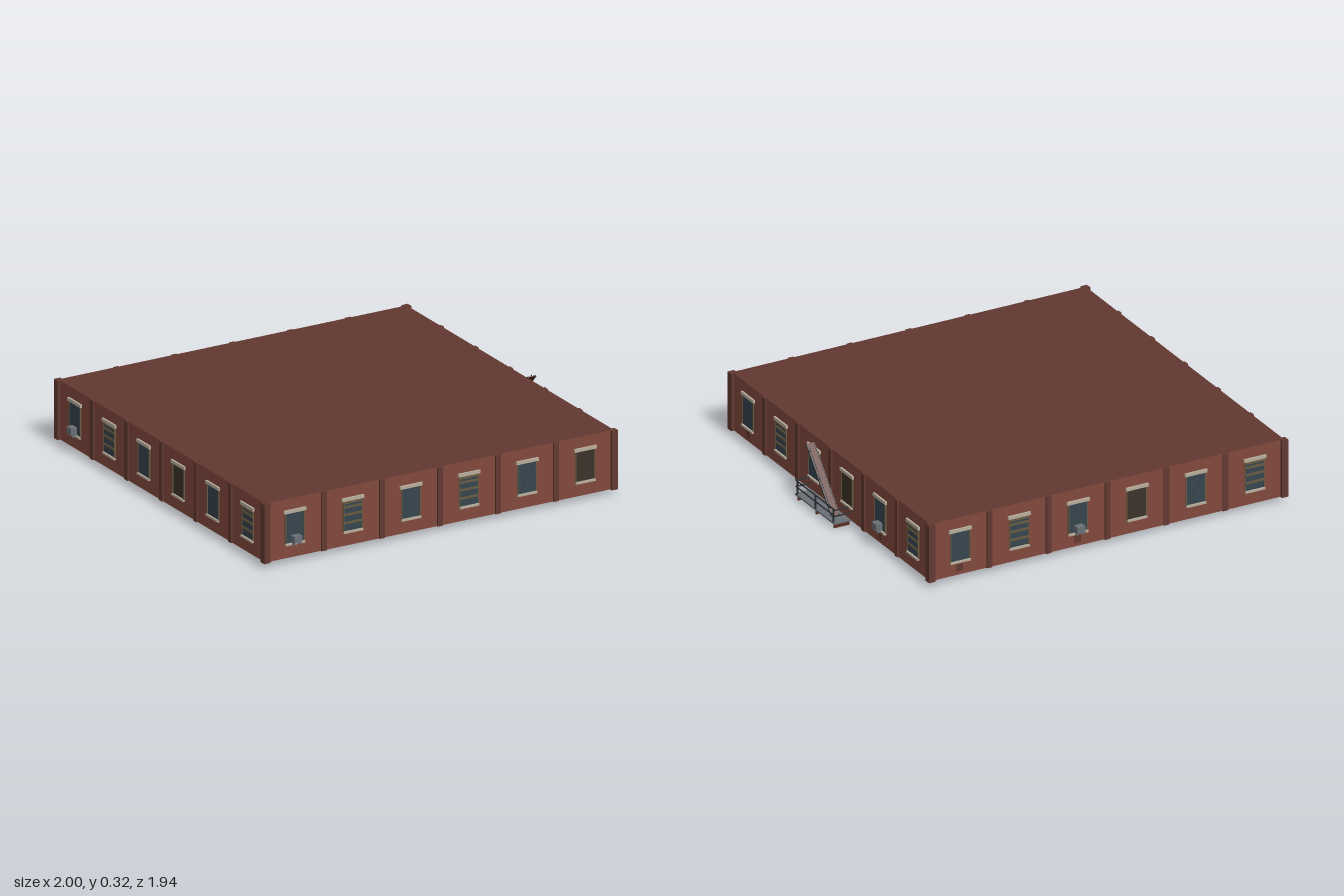
import * as THREE from 'three';

const mat = (name, color) => Object.assign(new THREE.MeshStandardMaterial({ color }), { name });

export function createModel() {
  const M = {
    brick: mat('brick', 0x82493d),
    trim: mat('dark brick', 0x623830),
    stone: mat('pale stone', 0xb8ad9c),
    glass: mat('glass', 0x36454f),
    dark: mat('dark opening', 0x3d332a),
    wood: mat('weathered wood', 0x685a40),
    metal: mat('grey metal', 0x6a7077),
    iron: mat('dark iron', 0x2f3236),
    rust: mat('rust', 0x5a2c20),
  };
  const model = new THREE.Group();
  model.name = 'brickStorey';

  // Box with its centre and size, added to a parent
  const box = (parent, name, m, x, y, z, w, h, d) => {
    const mesh = new THREE.Mesh(new THREE.BoxGeometry(w, h, d), m);
    mesh.name = name;
    mesh.position.set(x, y, z);
    parent.add(mesh);
    return mesh;
  };

  const HALF = 0.936, Y0 = 0.027, Y1 = 0.318, BAY = HALF / 3;
  const H = Y1 - Y0, YC = (Y0 + Y1) / 2;

  const building = new THREE.Group();
  building.name = 'building';
  building.position.x = -0.026;
  model.add(building);

  // Solid block: brick sides, dark roof and underside
  const body = box(building, 'walls', M.brick, 0, YC, 0, HALF * 2, H, HALF * 2);
  body.material = [M.brick, M.brick, M.trim, M.trim, M.brick, M.brick];
  for (const sx of [-1, 1]) for (const sz of [-1, 1])
    box(building, 'cornerPier', M.trim, sx * 0.934, YC, sz * 0.934, 0.034, H + 0.001, 0.034);

  // One window, built flat on a wall whose outside is +z
  function addWindow(wall, x, type, stained) {
    const g = new THREE.Group();
    g.name = 'window';
    g.position.set(x, 0, HALF);
    wall.add(g);
    box(g, 'pane', type === 'open' ? M.dark : M.glass, 0, 0.173, 0.001, 0.1, 0.15, 0.004);
    for (const s of [-1, 1]) box(g, 'frameSide', M.wood, s * 0.05, 0.173, 0.002, 0.005, 0.15, 0.008);
    box(g, 'lintel', M.stone, 0, 0.256, 0.004, 0.118, 0.016, 0.012);
    box(g, 'sill', M.stone, 0, 0.095, 0.005, 0.104, 0.01, 0.014);
    if (type === 'boards')
      for (const y of [0.24, 0.218, 0.181, 0.14]) box(g, 'board', M.wood, 0, y, 0.004, 0.1, 0.01, 0.008);
    if (type === 'crack')
      box(g, 'crack', M.iron, 0, 0.172, 0.0035, 0.002, 0.16, 0.001).rotation.z = -0.5;
    if (type === 'cooler') {
      box(g, 'coolerBox', M.metal, 0, 0.121, 0.018, 0.042, 0.034, 0.036);
      for (const s of [-1, 1]) box(g, 'coolerBracket', M.metal, s * 0.016, 0.098, 0.014, 0.005, 0.014, 0.026);
    }
    if (stained) box(g, 'stain', M.trim, 0, 0.066, 0.0005, 0.032, 0.042, 0.003);
  }

  // Four walls, bays listed from the viewer's left to right
  const walls = [
    ['frontWall', 0, ['cooler', 'boards', 'glass', 'boards', 'crack', 'open'], []],
    ['eastWall', Math.PI / 2, ['glass', 'boards', 'crack', 'open', 'cooler', 'boards'], [0, 4]],
    ['backWall', Math.PI, ['glass', 'boards', 'cooler', 'open', 'crack', 'boards'], [0, 2]],
    ['westWall', -Math.PI / 2, ['cooler', 'boards', 'glass', 'open', 'glass', 'boards'], []],
  ];
  for (const [name, turn, bays, stains] of walls) {
    const wall = new THREE.Group();
    wall.name = name;
    wall.rotation.y = turn;
    building.add(wall);
    bays.forEach((type, i) => addWindow(wall, (i - 2.5) * BAY, type, stains.includes(i)));
    for (let i = -2; i <= 2; i++)
      box(wall, 'pilaster', M.trim, i * BAY, YC, HALF, 0.028, H, 0.016);
  }

  // Fire escape on the +x wall
  const escape = new THREE.Group();
  escape.name = 'fireEscape';
  model.add(escape);
  box(escape, 'platform', M.metal, 0.954, 0.027, 0, 0.086, 0.008, 0.374);
  for (const z of [-0.17, 0, 0.17]) {
    box(escape, 'bracket', M.rust, 0.952, 0.0115, z, 0.08, 0.023, 0.008);
    box(escape, 'railPost', M.iron, 0.993, 0.063, z, 0.006, 0.072, 0.006);
  }
  for (const y of [0.065, 0.097]) {
    box(escape, 'frontRail', M.iron, 0.993, y, 0, 0.005, 0.005, 0.374);
    for (const s of [-1, 1]) box(escape, 'endRail', M.iron, 0.953, y, s * 0.184, 0.082, 0.005, 0.005);
  }

  // Steep stair rising towards +z
  const stair = new THREE.Group();
  stair.name = 'stair';
  stair.position.set(0.955, 0.17, 0);
  stair.rotation.x = -Math.atan2(0.27, 0.24);
  escape.add(stair);
  const L = 0.362;
  box(stair, 'treads', M.rust, 0, 0, 0, 0.038, 0.004, L);
  for (const s of [-1, 1]) box(stair, 'stringer', M.iron, s * 0.02, 0, 0, 0.004, 0.008, L);
  box(stair, 'handrail', M.iron, 0.02, 0.02, 0, 0.003, 0.003, L * 0.85);
  for (const z of [-0.14, 0, 0.14]) box(stair, 'handrailPost', M.iron, 0.02, 0.01, z, 0.003, 0.02, 0.003);

  return model;
}
